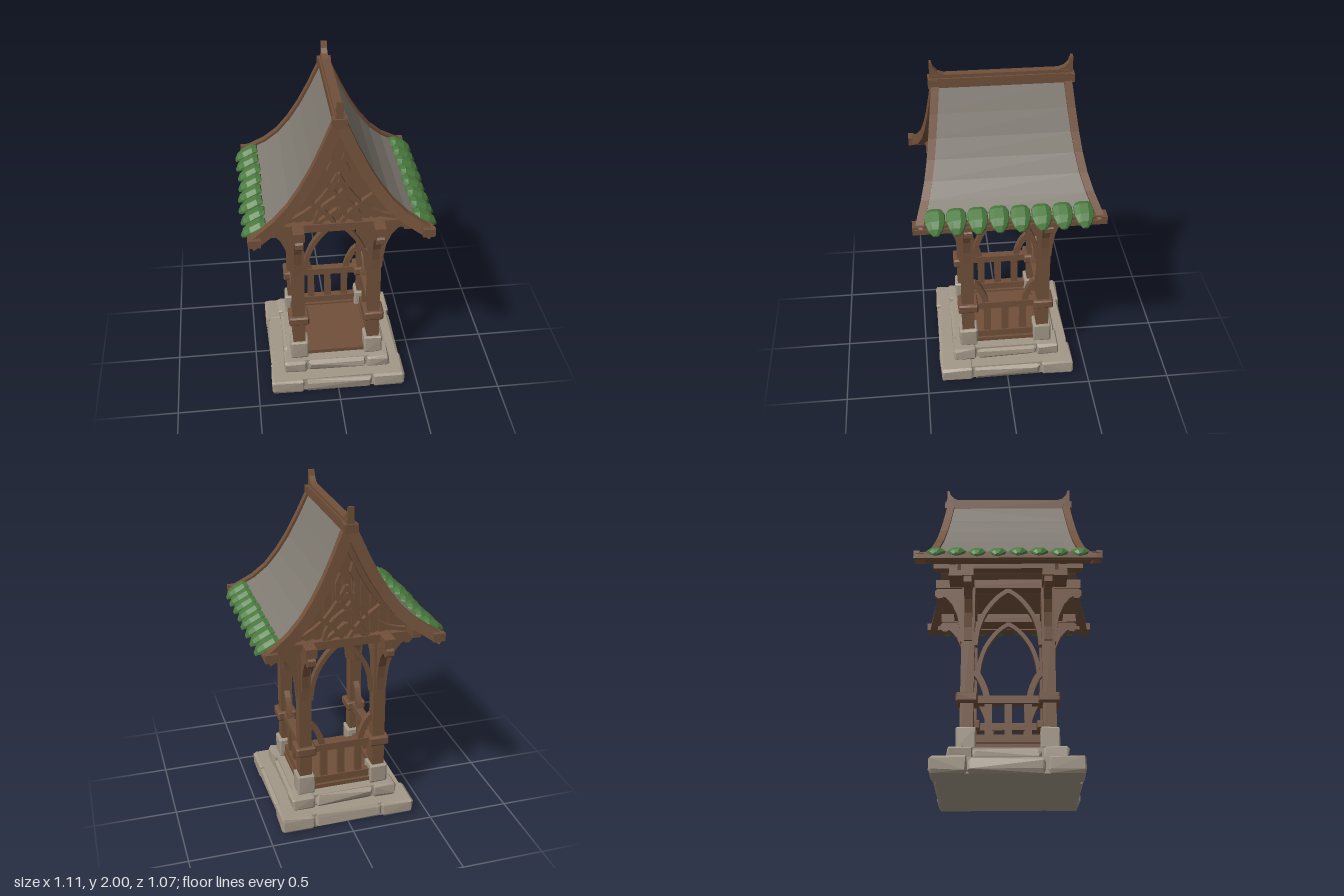
import * as THREE from 'three';
import { ConvexGeometry } from 'three/addons/geometries/ConvexGeometry.js';

const mat = (name, color, extra = {}) => Object.assign(new THREE.MeshStandardMaterial({ color, ...extra }), { name });
const WOOD = mat('brown wood', 0x71503a);
const STONE = mat('pale stone', 0xa39888);
const SLATE = mat('grey roof', 0x7f7a71);
const MOSS = mat('green tile', 0x4a7a3e);

// Roof profile from ridge to eave: x, y, half length along z
const PROFILE = [[0.03, 1.86, 0.39], [0.09, 1.725, 0.405], [0.15, 1.605, 0.42], [0.21, 1.505, 0.435],
  [0.28, 1.41, 0.455], [0.36, 1.335, 0.48], [0.44, 1.283, 0.505], [0.51, 1.24, 0.525]];

let seed = 7;
const rand = () => ((seed = (seed * 16807) % 2147483647) / 2147483647);
const jitter = a => (rand() - 0.5) * 2 * a;

function add(parent, name, geometry, material, x = 0, y = 0, z = 0) {
  const mesh = new THREE.Mesh(geometry, material);
  mesh.name = name;
  mesh.position.set(x, y, z);
  parent.add(mesh);
  return mesh;
}

const box = (parent, name, w, h, d, x, y, z, m = WOOD) =>
  add(parent, name, new THREE.BoxGeometry(w, h, d), m, x, y, z);

// Roughly chamfered block
function chipped(w, h, d, c, rough) {
  const pts = [];
  for (const i of [-1, 1]) for (const j of [-1, 1]) for (const k of [-1, 1]) for (let a = 0; a < 3; a++) {
    const p = [w / 2, h / 2, d / 2].map((e, n) => e - (n === a ? 0 : c) - rand() * rough);
    pts.push(new THREE.Vector3(p[0] * i, j < 0 && a === 1 ? -h / 2 : p[1] * j, p[2] * k));
  }
  return new ConvexGeometry(pts);
}

// Skin a row of equal rings, close both ends and face it outwards
function loft(rings) {
  const tris = [], n = rings[0].length, last = rings.length - 1;
  for (let r = 0; r < last; r++) for (let i = 0; i < n; i++) {
    const j = (i + 1) % n, [a, b] = [rings[r], rings[r + 1]];
    tris.push([a[i], a[j], b[j]], [a[i], b[j], b[i]]);
  }
  for (let i = 1; i < n - 1; i++) {
    tris.push([rings[0][0], rings[0][i + 1], rings[0][i]]);
    tris.push([rings[last][0], rings[last][i], rings[last][i + 1]]);
  }
  const V = p => new THREE.Vector3(...p);
  const c = V(rings[0][0]);
  let volume = 0;
  for (const [p, q, s] of tris) volume += V(p).sub(c).dot(V(q).sub(c).cross(V(s).sub(c)));
  const flat = tris.flatMap(t => (volume < 0 ? [t[0], t[2], t[1]] : t)).flat();
  const g = new THREE.BufferGeometry();
  g.setAttribute('position', new THREE.Float32BufferAttribute(flat, 3));
  g.computeVertexNormals();
  return g;
}

// Point and 2D normal frame along a polyline
function offsetLine(pts, o) {
  return pts.map((p, i) => {
    const a = pts[Math.max(i - 1, 0)], b = pts[Math.min(i + 1, pts.length - 1)];
    const l = Math.hypot(b[0] - a[0], b[1] - a[1]);
    return [p[0] - ((b[1] - a[1]) / l) * o, p[1] + ((b[0] - a[0]) / l) * o];
  });
}

const extrude = (outline, depth) => new THREE.ExtrudeGeometry(
  new THREE.Shape(outline.map(p => new THREE.Vector2(...p))), { depth, bevelEnabled: false });

// Timber strip following a curve in the xy plane
function strip(pts, width, depth, smooth = 0) {
  if (smooth) {
    const curve = new THREE.SplineCurve(pts.map(p => new THREE.Vector2(...p)));
    pts = curve.getPoints(smooth).map(p => [p.x, p.y]);
  }
  return extrude([...offsetLine(pts, width / 2), ...offsetLine(pts, -width / 2).reverse()], depth);
}

const mirrored = (pts, s) => pts.map(([x, y]) => [x * s, y]);

function roofY(x) {
  x = Math.abs(x);
  for (let i = 1; i < PROFILE.length; i++) {
    const [a, b] = [PROFILE[i - 1], PROFILE[i]];
    if (x <= b[0]) return a[1] + (b[1] - a[1]) * Math.max(0, (x - a[0]) / (b[0] - a[0]));
  }
  return PROFILE.at(-1)[1];
}

function buildBase(root) {
  const base = new THREE.Group();
  base.name = 'stoneBase';
  root.add(base);
  for (const [half, y, h, corner] of [[0.42, 0, 0.1, 0.21], [0.335, 0.09, 0.088, 0.15]]) {
    box(base, 'baseCore', half * 2 - 0.06, h - 0.008, half * 2 - 0.06, 0, y + h / 2 - 0.004, 0, STONE);
    for (let i = 0; i < 4; i++) {
      const side = new THREE.Group();
      side.name = 'baseSide';
      side.rotation.y = i * Math.PI / 2;
      base.add(side);
      const c = half - corner / 2;
      add(side, 'cornerStone', chipped(corner, h, corner, 0.012, 0.01), STONE, c, y + h / 2, c);
      const mid = 2 * (half - corner) + 0.01;
      add(side, 'middleStone', chipped(mid, h - 0.008, corner, 0.015, 0.014), STONE, jitter(0.006), y + h / 2 - 0.004, c - 0.004);
    }
  }
  box(base, 'floor', 0.44, 0.03, 0.44, 0, 0.18, 0);
}

// One bay of the frame, facing +z
function buildSide(root, index) {
  const side = new THREE.Group();
  side.name = ['front', 'left', 'back', 'right'][index] + 'Side';
  side.rotation.y = index * Math.PI / 2;
  root.add(side);

  // Corner post
  add(side, 'postFoot', chipped(0.115, 0.13, 0.115, 0.008, 0.006), STONE, 0.23, 0.235, 0.23);
  box(side, 'post', 0.075, 1.02, 0.075, 0.23, 0.69, 0.23);
  add(side, 'postCollar', chipped(0.125, 0.06, 0.125, 0.008, 0.003), WOOD, 0.23, 0.47, 0.23);
  box(side, 'tieBeam', 0.85, 0.055, 0.065, 0, 1.187, 0.23);
  for (const s of [-1, 1]) {
    // Outward bracket with a curled end
    const bracket = extrude([[0.25, 0.81], [0.275, 0.82], [0.28, 0.9], [0.295, 0.985], [0.325, 1.055], [0.36, 1.098],
      [0.378, 1.11], [0.385, 1.1], [0.41, 1.097], [0.43, 1.115], [0.43, 1.145], [0.41, 1.165], [0.25, 1.165]], 0.045);
    bracket.rotateY(-Math.PI / 2);
    add(side, 'eaveBracket', bracket, WOOD, 0.23 * s + 0.0225, 0, 0);
    // Pointed arch
    const arch = [[0.188, 0.8], [0.178, 0.89], [0.145, 0.99], [0.09, 1.075], [0.04, 1.125], [0, 1.15]];
    add(side, 'archHalf', strip(mirrored(arch, s), 0.026, 0.04, 10), WOOD, 0, 0, 0.21);
  }
  box(side, 'archKey', 0.035, 0.035, 0.04, 0, 1.15, 0.23);

  box(side, 'sill', 0.36, 0.025, 0.06, 0, 0.195, 0.23);
  if (index === 0) return; // the front is left open

  // Railing
  box(side, 'handrail', 0.36, 0.045, 0.05, 0, 0.465, 0.23);
  box(side, 'lowerRail', 0.36, 0.045, 0.045, 0, 0.238, 0.23);
  for (const x of [-0.11, 0, 0.11]) box(side, 'baluster', 0.042, 0.2, 0.028, x, 0.35, 0.23);
  for (const s of [-1, 1]) {
    const brace = [[0.195, 0.635], [0.165, 0.605], [0.143, 0.56], [0.128, 0.52], [0.12, 0.48]];
    add(side, 'railBrace', strip(mirrored(brace, s), 0.035, 0.035, 8), WOOD, 0, 0, 0.2125);
  }
}

// Boarded gable with its timber tracery, facing +z
function buildGable(root, angle) {
  const gable = new THREE.Group();
  gable.name = 'gable';
  gable.rotation.y = angle;
  root.add(gable);
  const edge = offsetLine(PROFILE.slice(0, 7), -0.025).map(([x, y]) => [Math.max(x, 0.005), y]);
  add(gable, 'gableBoards', extrude([...mirrored(edge, -1).reverse(), ...edge, [0.41, 1.2], [-0.41, 1.2]], 0.02), WOOD, 0, 0, 0.27);
  for (let i = -5; i <= 5; i++) {
    const x = i * 0.055, top = roofY(Math.abs(x) + 0.02) - 0.03;
    box(gable, 'batten', 0.036, top - 1.2, 0.014, x, (top + 1.2) / 2, 0.295);
  }
  box(gable, 'gableBeam', 0.82, 0.05, 0.08, 0, 1.19, 0.3);
  const tracery = [
    [[0.13, 1.21], [0.11, 1.28], [0.06, 1.34], [0, 1.38]],
    [[0.36, 1.225], [0.25, 1.25], [0.13, 1.33], [0.04, 1.45], [0, 1.53]],
    [[0.02, 1.21], [0.07, 1.28], [0.14, 1.34], [0.22, 1.4]],
    [[0.0, 1.3], [0.08, 1.24], [0.12, 1.21]],
    [[0.05, 1.45], [0.055, 1.55], [0.03, 1.61], [0.045, 1.68], [0, 1.75]],
    [[0, 1.39], [0.035, 1.435], [0, 1.485]],
  ];
  for (const s of [-1, 1]) {
    tracery.forEach((pts, i) =>
      add(gable, 'tracery', strip(mirrored(pts, s), 0.022, 0.03 + i * 0.001, i === 5 ? 0 : 8), WOOD, 0, 0, 0.3));
    add(gable, 'rafter', strip(mirrored(offsetLine(PROFILE.slice(0, 7), -0.055), s), 0.045, 0.04), WOOD, 0, 0, 0.3);
  }
}

function buildRoof(root) {
  const roof = new THREE.Group();
  roof.name = 'roof';
  root.add(roof);
  for (const s of [-1, 1]) {
    // Layer between two offsets from the profile; zRange gives its two edges
    const layer = (name, o1, o2, zRange, m) => {
      const [a, b] = [offsetLine(PROFILE, o1), offsetLine(PROFILE, o2)];
      const rings = PROFILE.map(([, , z], i) => {
        const [z1, z2] = zRange(z);
        return [[a[i][0] * s, a[i][1], z1], [a[i][0] * s, a[i][1], z2], [b[i][0] * s, b[i][1], z2], [b[i][0] * s, b[i][1], z1]];
      });
      add(roof, name, loft(rings), m);
    };
    layer('slope', 0, -0.014, z => [-z + 0.02, z - 0.02], SLATE);
    layer('soffit', -0.014, -0.028, z => [-z + 0.02, z - 0.02], WOOD);
    for (const e of [-1, 1]) layer('bargeBoard', 0.014, -0.05, z => [e * (z - 0.045), e * z], WOOD);

    box(roof, 'eaveBeam', 0.07, 0.028, 1.06, 0.48 * s, 1.234, 0);
    box(roof, 'eaveBoard', 0.045, 0.02, 1.07, 0.48 * s, 1.257, 0);
    box(roof, 'purlin', 0.05, 0.05, 0.86, 0.385 * s, 1.235, 0);
    for (const e of [-1, 1]) box(roof, 'eaveEnd', 0.07, 0.048, 0.035, 0.48 * s, 1.244, 0.518 * e);

    // Leaf-shaped tiles along the eave: x, y, half width, thickness
    const leaf = [[0.41, 1.298, 0.042, 0.018], [0.435, 1.29, 0.055, 0.03], [0.49, 1.26, 0.056, 0.032], [0.525, 1.238, 0.038, 0.025], [0.545, 1.222, 0.014, 0.01]];
    for (let i = 0; i < 8; i++) {
      const z = (i - 3.5) * 0.117, d = jitter(0.005);
      const rings = leaf.map(([x, y, w, h]) => [[-w, 0], [-w * 0.9, h * 0.5], [-w * 0.4, h], [w * 0.45, h], [w * 0.95, h * 0.45], [w, 0], [0, -h * 0.4]]
        .map(([u, v]) => [(x + d) * s + v * 0.4 * s, y + v, z + u]));
      add(roof, 'eaveTile', loft(rings), MOSS);
    }
  }

  // Ridge with upturned ends
  box(roof, 'ridgeBeam', 0.066, 0.065, 0.78, 0, 1.875, 0);
  box(roof, 'ridgeCap', 0.045, 0.022, 0.77, 0, 1.915, 0);
  box(roof, 'ridgePole', 0.05, 0.06, 0.74, 0, 1.81, 0);
  for (const e of [-1, 1]) {
    box(roof, 'ridgeEnd', 0.08, 0.05, 0.05, 0, 1.88, 0.38 * e);
    const finial = extrude([[0.3, 1.9], [0.395, 1.9], [0.395, 2], [0.383, 2], [0.372, 1.965], [0.35, 1.94], [0.31, 1.925]], 0.036);
    finial.rotateY(-Math.PI / 2).translate(0.018, 0, 0);
    add(roof, 'finial', finial, WOOD).rotation.y = e < 0 ? Math.PI : 0;
  }
}

export function createModel() {
  const root = new THREE.Group();
  root.name = 'woodenPavilion';
  buildBase(root);
  for (let i = 0; i < 4; i++) buildSide(root, i);
  for (const a of [0, Math.PI]) buildGable(root, a);
  buildRoof(root);
  return root;
}
